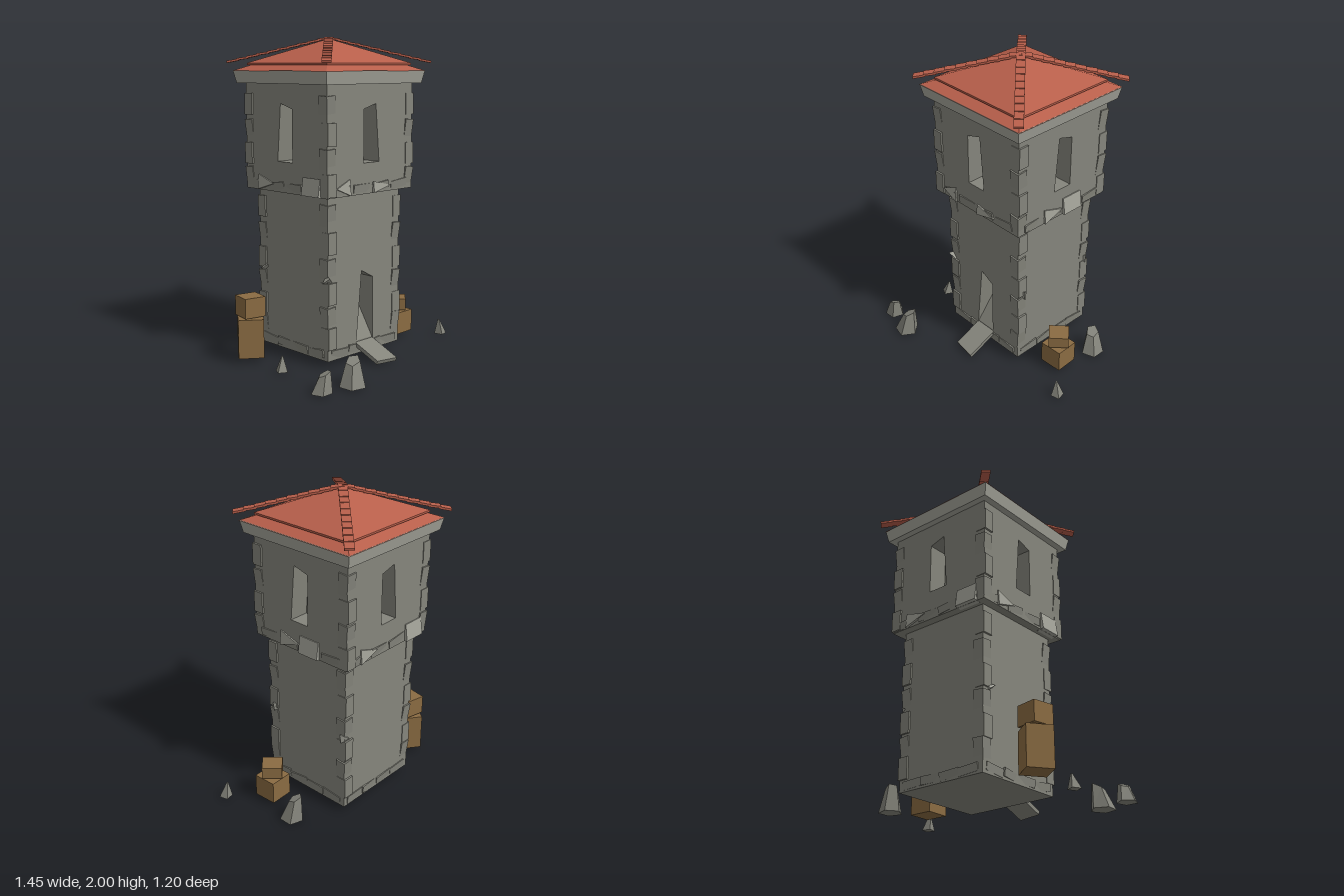
import * as THREE from 'three';

const mat = (color) => new THREE.MeshStandardMaterial({ color, flatShading: true });
const wallMat = mat(0x85857c), trimMat = mat(0xa4a49a), roofMat = mat(0xb85f4b), woodMat = mat(0x8a6b42);

let seed = 7;
const rand = (a, b) => {
  seed = (seed * 16807) % 2147483647;
  return a + (b - a) * seed / 2147483647;
};

function add(parent, name, geo, material, pos = [0, 0, 0], rot = [0, 0, 0]) {
  const m = new THREE.Mesh(geo, material);
  m.name = name;
  m.position.set(...pos);
  m.rotation.set(...rot);
  parent.add(m);
  return m;
}
const box = (w, h, d) => new THREE.BoxGeometry(w, h, d);
const shapeOf = (pts) => new THREE.Shape(pts.map(([x, y]) => new THREE.Vector2(x, y)));
const prism = (pts, depth) => new THREE.ExtrudeGeometry(shapeOf(pts), { depth, bevelEnabled: false });

// Square frustum with half widths given at the bottom and top
function frustum(bottom, top, h) {
  const g = new THREE.CylinderGeometry(top * Math.SQRT2, bottom * Math.SQRT2, h, 4);
  return g.rotateY(Math.PI / 4).translate(0, h / 2, 0);
}

// Four walls around a core; holes[k] is an opening outline on side k
function storey(parent, name, half, y0, y1, holes) {
  const t = 0.13;
  for (let k = 0; k < 4; k++) {
    const s = shapeOf([[-half, y0], [half - t, y0], [half - t, y1], [-half, y1]]);
    if (holes[k]) s.holes.push(new THREE.Path(holes[k].map(([x, y]) => new THREE.Vector2(x, y))));
    const g = new THREE.ExtrudeGeometry(s, { depth: t, bevelEnabled: false }).translate(0, 0, half - t);
    add(parent, name + 'Wall', g, wallMat, [0, 0, 0], [0, k * Math.PI / 2, 0]);
  }
  const c = 2 * (half - t);
  add(parent, name + 'Core', box(c, y1 - y0, c), wallMat, [0, (y0 + y1) / 2, 0]);
}

// Tilted stones barely breaking the surface along the corners and the bottom edge
function edgeStones(parent, half, levels, yBase) {
  for (let k = 0; k < 4; k++) {
    const side = new THREE.Group();
    side.name = 'edgeStones';
    side.rotation.y = k * Math.PI / 2;
    parent.add(side);
    levels.forEach((y, i) => {
      const out = (i + k) % 2 ? 0.012 : 0.003;
      const tilt = out > 0.01 ? 0 : 0.09;
      add(side, 'cornerStone', box(0.07, 0.135, 0.07), wallMat,
        [half - 0.035 + out, y, half - 0.035 + 0.004], [tilt * rand(0.6, 1.2), 0, -tilt * rand(0.6, 1.2)]);
    });
    for (let i = 0; i < 4; i++) {
      add(side, 'baseStone', box(0.14, 0.05, 0.06), wallMat,
        [half * (-0.68 + i * 0.45), yBase + 0.04, half - 0.026], [rand(0.05, 0.15), rand(-0.1, 0.1), rand(-0.15, 0.15)]);
    }
  }
}

function rock(parent, x, z, r, h, turn, sharp) {
  const g = new THREE.CylinderGeometry(r * (sharp ? 0.15 : 0.55), r, h, sharp ? 4 : 5);
  const p = g.attributes.position;
  for (let i = 0; i < p.count; i++) {
    // Lean the top over and cut it at a slant
    if (p.getY(i) > 0) p.setXYZ(i, p.getX(i) + r * 0.3, h / 2 + (p.getX(i) - r * 0.5) * 0.5, p.getZ(i) - r * 0.1);
  }
  add(parent, 'rock', g, wallMat, [x, h / 2, z], [0, turn, 0]);
}

export function createModel() {
  const model = new THREE.Group();
  model.name = 'watchtower';
  const tower = new THREE.Group();
  tower.name = 'tower';
  tower.position.set(-0.025, 0, -0.125);
  model.add(tower);

  // Shaft with a crooked doorway, wider top storey with a crooked window on each side
  const door = [[-0.075, 0.05], [0.075, 0.05], [0.075, 0.5], [-0.025, 0.555]];
  const win = [[-0.065, 1.235], [0.07, 1.235], [0.04, 1.59], [-0.065, 1.56]];
  const winMirror = win.map(([x, y]) => [-x, y]).reverse();
  storey(tower, 'shaft', 0.315, 0.03, 1.05, [door]);
  storey(tower, 'topStorey', 0.37, 1.045, 1.72, [win, winMirror, win, winMirror]);
  edgeStones(tower, 0.315, [0.17, 0.3, 0.45, 0.6, 0.76, 0.93], 0.03);
  edgeStones(tower, 0.37, [1.12, 1.27, 1.42, 1.58], 1.045);

  // Sloping fill in the doorway and slanted entry slab
  const fill = prism([[0, 0.05], [0.12, 0.05], [0.12, 0.11], [0, 0.3]], 0.15);
  add(tower, 'doorwaySlope', fill, wallMat, [0.075, 0, 0.19], [0, -Math.PI / 2, 0]);
  const slab = prism([[-0.075, 0], [0.08, 0], [0.08, 0.25], [-0.075, 0.23]], 0.025);
  add(tower, 'entrySlab', slab, wallMat, [0, 0.11, 0.29], [Math.PI / 2 + 0.38, 0, 0]);

  // Pale stones set into the overhang: triangles [tip, base, y height] and blocks
  const tri = (side, tip, base, low, high) => {
    const pts = [[tip, (low + high) / 2], [base, low], [base, high]];
    const g = prism(tip < base ? pts : [pts[0], pts[2], pts[1]], 0.03);
    add(side, 'wedgeStone', g, trimMat, [0, 1.045, 0.355], [-0.08, 0, 0]);
  };
  const block = (side, x) =>
    add(side, 'blockStone', box(0.15, 0.11, 0.05), trimMat, [x, 1.1, 0.36], [-0.14, 0, 0]);
  for (let k = 0; k < 4; k++) {
    const side = new THREE.Group();
    side.name = 'overhangStones';
    side.rotation.y = k * Math.PI / 2;
    tower.add(side);
    if (k === 0) {
      tri(side, -0.3, -0.185, 0, 0.1);
      tri(side, 0.165, 0.015, 0, 0.07);
    } else {
      const start = k === 1 ? -0.155 : -0.25;
      tri(side, start + 0.15, start, 0, 0.095);
      block(side, k === 1 ? 0.08 : 0.24);
    }
  }

  // Small chips sticking out of the shaft corners
  for (const [x, y, z] of [[-0.31, 0.54, 0.31], [0.315, 0.54, 0.27], [0.31, 0.54, -0.3], [-0.315, 0.54, -0.26]]) {
    add(tower, 'chip', new THREE.TetrahedronGeometry(0.04), trimMat, [x, y, z], [0.5, x * 4, 0.3]);
  }

  // Cornice and stepped roof
  add(tower, 'cornice', frustum(0.412, 0.428, 0.078), trimMat, [0, 1.71, 0]);
  add(tower, 'roofSkirt', frustum(0.43, 0.345, 0.036), roofMat, [0, 1.786, 0]);
  add(tower, 'roofLip', frustum(0.365, 0.365, 0.012), roofMat, [0, 1.822, 0]);
  add(tower, 'roof', frustum(0.365, 0.001, 0.15), roofMat, [0, 1.834, 0]);

  // Overlapping ridge tiles running down the four hips
  const count = 10, run = 0.635, drop = 0.15;
  for (let k = 0; k < 4; k++) {
    const hip = new THREE.Group();
    hip.name = 'ridgeTiles';
    hip.rotation.y = Math.PI / 4 + k * Math.PI / 2;
    tower.add(hip);
    for (let i = 0; i < count; i++) {
      const f = (i + 0.5) / count;
      add(hip, 'ridgeTile', box(0.056, 0.013, run / count + 0.012), roofMat,
        [0, 1.99 - drop * f, run * f], [0.14 + (i % 2) * 0.05, 0, 0]);
    }
  }

  // Stacked crates
  const crate = (x, y, z, w, h, turn) =>
    add(model, 'crate', box(w, h, w), woodMat, [x, y + h / 2, z], [0, turn, 0]);
  crate(-0.57, 0.025, -0.268, 0.158, 0.245, -0.63);
  crate(-0.57, 0.28, -0.268, 0.138, 0.125, -0.2);
  crate(0.48, 0.02, 0.003, 0.153, 0.145, 0.04);
  crate(0.48, 0.178, 0.003, 0.128, 0.077, 0.75);

  // Loose rubble
  rock(model, 0.56, -0.245, 0.075, 0.165, 2.2, false);
  rock(model, -0.465, 0.525, 0.08, 0.165, 0.4, false);
  rock(model, -0.665, 0.475, 0.065, 0.125, -0.6, false);
  rock(model, 0.69, 0.225, 0.042, 0.11, 2.6, true);
  rock(model, -0.59, 0.05, 0.042, 0.1, 0.3, true);

  return model;
}
